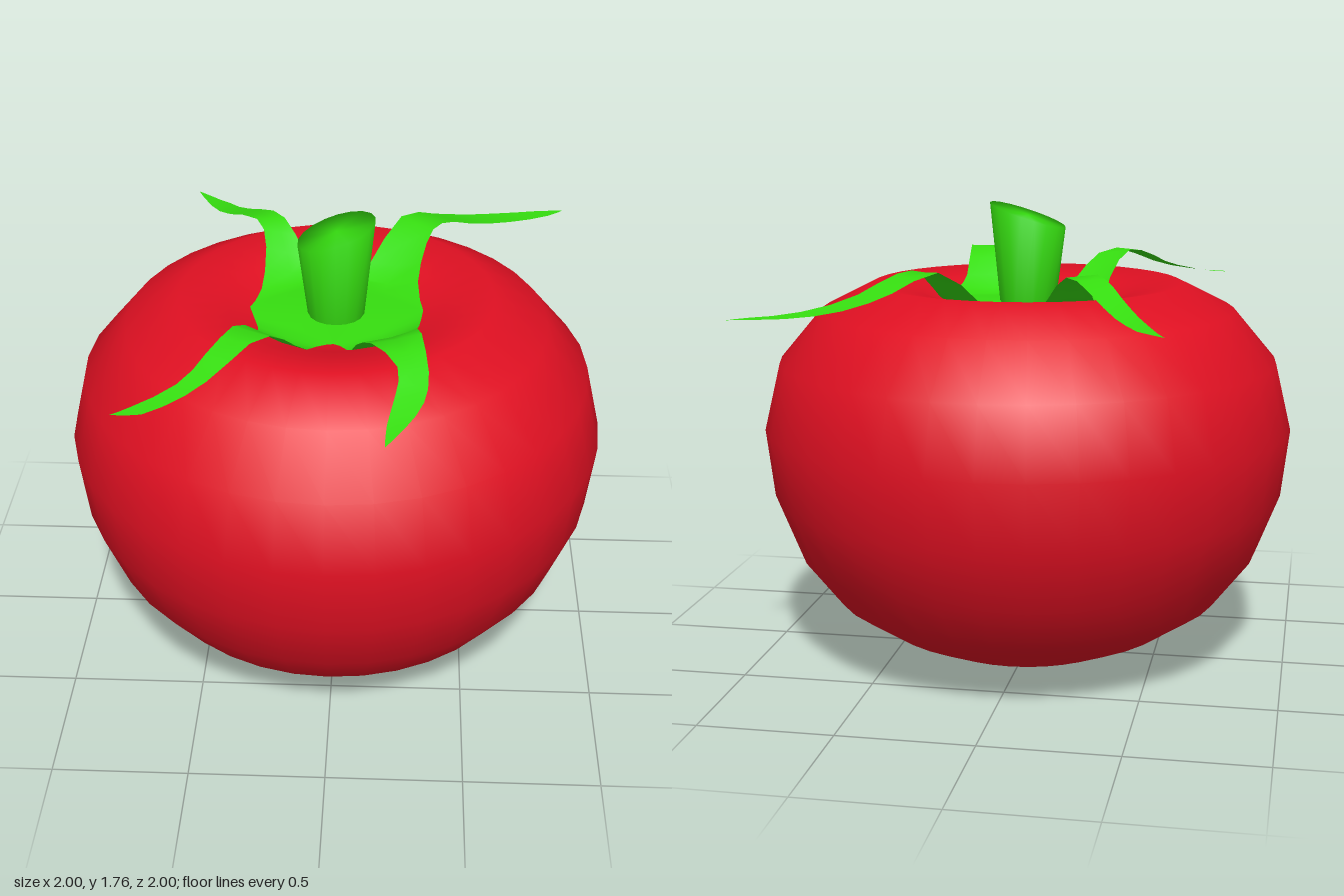
import * as THREE from 'three';
import { mergeGeometries, mergeVertices } from 'three/addons/utils/BufferGeometryUtils.js';

const v2 = ([x, y]) => new THREE.Vector2(x, y);

// Weld the vertices so that normals run smoothly over the whole surface
function smooth(geometry) {
  geometry.deleteAttribute('normal');
  geometry.deleteAttribute('uv');
  const welded = mergeVertices(geometry, 1e-4);
  welded.computeVertexNormals();
  return welded;
}

// Sepal height by distance from the middle: dip, arch over the shoulder, fall to the tip
const ARCH = [[0, 1.39], [0.3, 1.385], [0.36, 1.43], [0.45, 1.51], [0.54, 1.55], [0.64, 1.53],
  [0.76, 1.48], [0.88, 1.445], [1.02, 1.422], [1.3, 1.415]];
function archHeight(r) {
  const i = Math.max(1, ARCH.findIndex(([d]) => d >= r));
  const [[r0, y0], [r1, y1]] = [ARCH[i - 1], ARCH[i]];
  return THREE.MathUtils.lerp(y0, y1, (r - r0) / (r1 - r0));
}

// One sepal as a ribbon between its left and right edges (x, z), plus its share of the centre
function sepal(left, right) {
  const rows = 14, cols = 2;
  const l = new THREE.SplineCurve(left.map(v2)).getPoints(rows);
  const r = new THREE.SplineCurve(right.map(v2)).getPoints(rows);
  const pos = [0, archHeight(0), 0], index = [];
  for (let i = 0; i <= rows; i++) {
    for (let j = 0; j <= cols; j++) {
      const p = l[i].clone().lerp(r[i], j / cols);
      pos.push(p.x, archHeight(p.length()), p.y);
    }
  }
  for (let j = 0; j < cols; j++) {
    index.push(0, 2 + j, 1 + j);
    for (let i = 0; i < rows; i++) {
      const a = 1 + i * (cols + 1) + j, b = a + cols + 1;
      index.push(a, a + 1, b + 1);
      if (i < rows - 1) index.push(a, b + 1, b);
      else if (j === 0) index.push(a, b + 1, b);
    }
  }
  const g = new THREE.BufferGeometry();
  g.setAttribute('position', new THREE.Float32BufferAttribute(pos, 3));
  g.setIndex(index);
  return g;
}

export function createModel() {
  const group = new THREE.Group();
  const red = new THREE.MeshStandardMaterial({ color: 0xe01022 });
  const green = new THREE.MeshStandardMaterial({ color: 0x36de10 });
  const leafGreen = new THREE.MeshStandardMaterial({ color: 0x36de10, side: THREE.DoubleSide });
  const add = (name, geometry, material) => {
    const mesh = new THREE.Mesh(geometry, material);
    mesh.name = name;
    group.add(mesh);
    return mesh;
  };

  // Fruit: squat round body with a shallow hollow on top
  const profile = [[0, 0.005], [0.24, 0.03], [0.39, 0.065], [0.56, 0.14], [0.74, 0.26], [0.88, 0.44],
    [0.97, 0.67], [1, 0.925], [0.94, 1.175], [0.78, 1.365], [0.58, 1.465], [0.4, 1.43],
    [0.25, 1.36], [0.12, 1.32], [0, 1.31]];
  add('fruit', new THREE.LatheGeometry(profile.map(v2), 36), red);

  // Stem: flares upward and is cut off at a slant
  const height = 0.375;
  const stem = new THREE.CylinderGeometry(0.142, 0.1, height, 18);
  stem.translate(0, 1.34 + height / 2, 0);
  const p = stem.attributes.position;
  for (let i = 0; i < p.count; i++) {
    if (p.getY(i) > 1.6) p.setY(i, 1.715 + 0.33 * p.getX(i));
  }
  add('stem', smooth(stem), green);

  // Calyx: four sepals that meet under the stem
  const backNotch = [0, -0.25], frontNotch = [0, 0.24], leftSide = [0.32, 0], rightSide = [-0.32, 0];
  const backRightTip = [-0.615, -0.965], backLeftTip = [0.89, -0.845];
  const frontLeftTip = [0.195, 0.97], frontRightTip = [-0.715, 0.8];
  const sepals = [
    sepal(
      [rightSide, [-0.285, -0.17], [-0.29, -0.37], [-0.36, -0.48], [-0.44, -0.61], [-0.53, -0.77], backRightTip],
      [backNotch, [-0.07, -0.28], [-0.16, -0.385], [-0.27, -0.54], [-0.4, -0.72], [-0.5, -0.86], backRightTip]),
    sepal(
      [backNotch, [0.07, -0.28], [0.17, -0.4], [0.3, -0.57], [0.43, -0.69], [0.6, -0.78], [0.78, -0.83], backLeftTip],
      [leftSide, [0.3, -0.18], [0.33, -0.32], [0.39, -0.45], [0.5, -0.58], [0.67, -0.7], [0.83, -0.79], backLeftTip]),
    sepal(
      [leftSide, [0.305, 0.14], [0.29, 0.25], [0.31, 0.44], [0.335, 0.62], [0.32, 0.75], [0.26, 0.87], frontLeftTip],
      [frontNotch, [0.05, 0.28], [0.085, 0.41], [0.14, 0.5], [0.23, 0.62], [0.225, 0.73], [0.2, 0.86], frontLeftTip]),
    sepal(
      [frontNotch, [-0.06, 0.26], [-0.13, 0.34], [-0.21, 0.44], [-0.34, 0.6], [-0.475, 0.72], [-0.61, 0.8], frontRightTip],
      [rightSide, [-0.28, 0.14], [-0.28, 0.27], [-0.34, 0.41], [-0.42, 0.54], [-0.51, 0.66], [-0.65, 0.755], frontRightTip]),
  ];
  add('calyx', smooth(mergeGeometries(sepals)), leafGreen);

  return group;
}
